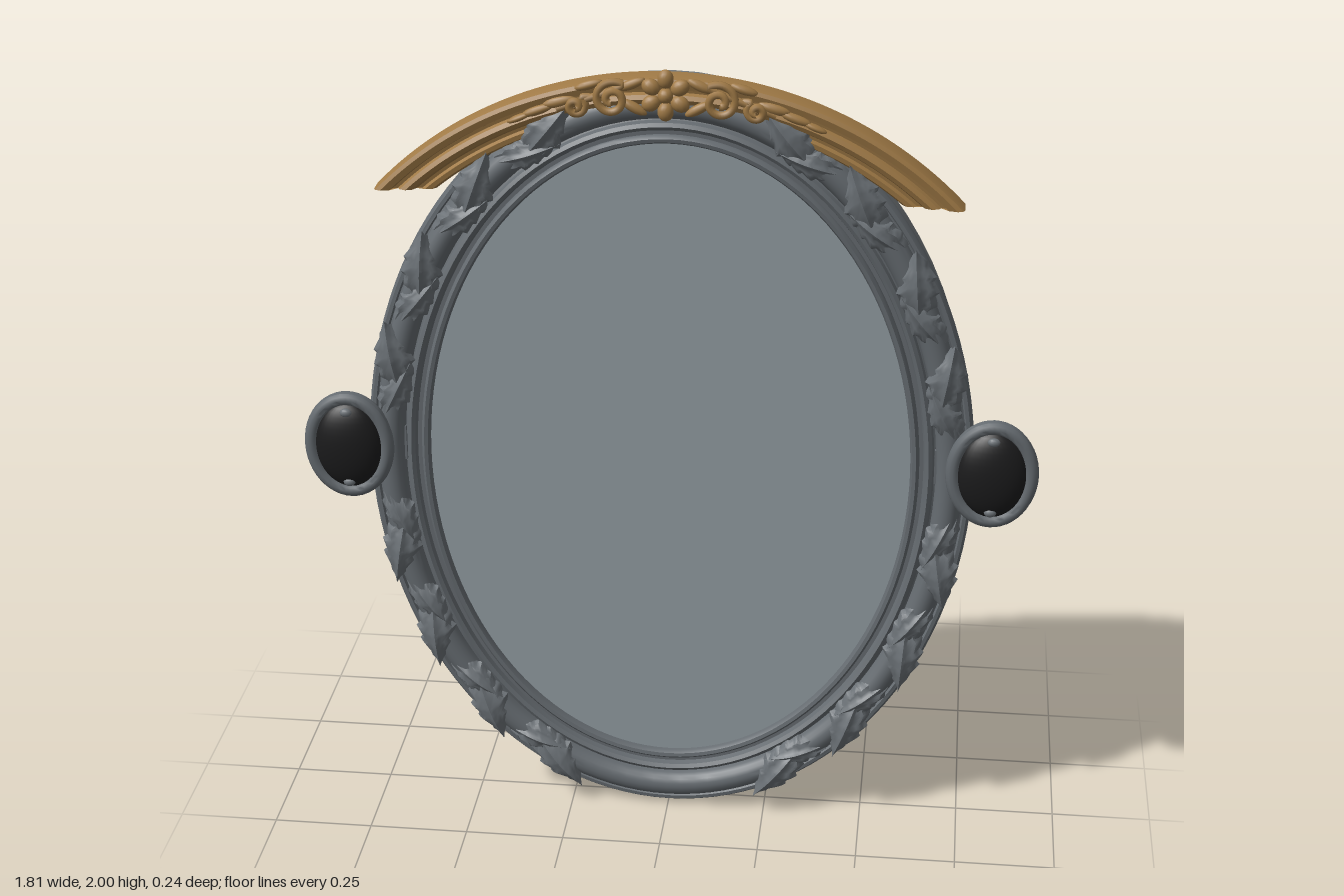
import * as THREE from 'three';
import { toCreasedNormals } from 'three/addons/utils/BufferGeometryUtils.js';

const CY = 0.98; // centre height of the oval

function material(name, color, side = THREE.FrontSide) {
  const m = new THREE.MeshStandardMaterial({ color, side });
  m.name = name;
  return m;
}

function add(parent, name, geometry, mat, x = 0, y = 0, z = 0) {
  const mesh = new THREE.Mesh(geometry, mat);
  mesh.name = name;
  mesh.position.set(x, y, z);
  parent.add(mesh);
  return mesh;
}

// Grid surface: point(i, j) for i in 0..nu, j in 0..nv
function gridSurface(nu, nv, point, crease = 0.6) {
  const pos = [], index = [];
  for (let j = 0; j <= nv; j++) for (let i = 0; i <= nu; i++) pos.push(...point(i, j));
  for (let j = 0; j < nv; j++) {
    for (let i = 0; i < nu; i++) {
      const a = j * (nu + 1) + i, d = a + nu + 1;
      index.push(a, a + 1, d + 1, a, d + 1, d);
    }
  }
  const g = new THREE.BufferGeometry();
  g.setAttribute('position', new THREE.Float32BufferAttribute(pos, 3));
  g.setIndex(index);
  return toCreasedNormals(g, crease);
}

// Sweep a profile of [offset, z] points round an ellipse
function ovalMoulding(rx, ry, profile, segs) {
  return gridSurface(profile.length - 1, segs, (i, j) => {
    const t = (j % segs) / segs * Math.PI * 2, [d, z] = profile[i];
    return [(rx + d) * Math.cos(t), (ry + d) * Math.sin(t), z];
  });
}

function circleProfile(r, n, d0 = 0, z0 = 0, from = 0, to = -Math.PI * 2) {
  return Array.from({ length: n + 1 }, (_, i) => {
    const a = from + (to - from) * i / n;
    return [d0 + r * Math.cos(a), z0 + r * Math.sin(a)];
  });
}

// Serrated leaf that curls over the rounded rail, tip along +x
function leafGeometry(length, width) {
  const nu = 12, nv = 18;
  return gridSurface(nu, nv, (i, j) => {
    const u = j / nv, w = i / nu * 2 - 1;
    const teeth = 1 - 0.28 * ((u * 4.5) % 1);
    const half = width / 2 * Math.pow(Math.sin(Math.PI * (0.1 + 0.88 * u)), 0.7) * teeth;
    const ridge = 0.005 * Math.cos(w * 9) * (1 - u * 0.5);
    const z = 0.018 * Math.sin(Math.PI * u) - 0.03 * w * w + ridge;
    return [(u - 0.5) * length - Math.abs(w) * 0.02, -half * w, z];
  }, 0.9);
}

// Closed crest moulding, its ends cut level at yCut
function crestGeometry(cy, yCut, profile) {
  const segs = 64, n = profile.length;
  return gridSurface(n, segs + 2, (i, j) => {
    const cap = j === 0 || j === segs + 2;
    const [r, z] = cap ? [0.917, 0.058] : profile[i % n];
    const s = Math.min(Math.max(j - 1, 0), segs) / segs * 2 - 1;
    const a = s * Math.acos((yCut - cy) / r);
    return [-r * Math.sin(a), cy + r * Math.cos(a), z];
  }, 0.5);
}

// Tube following a spiral, with a tail leading out of it
function scrollGeometry(side, radius, turns, tail) {
  const pts = [];
  for (let i = 0; i <= 24; i++) {
    const k = i / 24, a = -Math.PI / 2 + k * turns * Math.PI * 2;
    const r = radius * (0.2 + 0.8 * k);
    pts.push(new THREE.Vector3(side * r * Math.cos(a), r * Math.sin(a), 0.008 * (1 - k)));
  }
  pts.push(new THREE.Vector3(side * tail[0], tail[1], -0.006));
  return new THREE.TubeGeometry(new THREE.CatmullRomCurve3(pts), 70, 0.0095, 7);
}

export function createModel() {
  const root = new THREE.Group();
  root.name = 'ovalMirror';
  const pewter = material('pewter', 0x656b70);
  const leafGrey = material('leaf grey', 0x6b7176, THREE.DoubleSide);
  const casing = material('casing grey', 0x73787b);
  const glass = material('mirror glass', 0x929da3);
  const gold = material('antique gold', 0xa07a46);
  const black = material('black stone', 0x1b1b1c);
  const dark = material('dark plate', 0x484c4f);

  // Casing and glass
  const body = add(root, 'backCasing', new THREE.CylinderGeometry(1, 1, 0.11, 80), casing, 0, CY, -0.035);
  body.rotation.x = Math.PI / 2;
  body.scale.set(0.735, 1, 0.962);
  add(root, 'mirrorGlass', new THREE.CircleGeometry(1, 80), glass, 0, CY, 0.036).scale.set(0.6, 0.83, 1);

  // Moulded oval frame: inner beads, round rail and outer rim
  const profile = [
    [0, 0.022], [0, 0.045], [0.005, 0.054], [0.014, 0.056], [0.02, 0.05], [0.022, 0.042],
    [0.032, 0.042], [0.036, 0.056], [0.045, 0.062], [0.054, 0.056], [0.058, 0.044],
    ...circleProfile(0.034, 10, 0.096, 0.042, Math.PI, 0),
    [0.134, 0.04], [0.138, 0.047], [0.147, 0.046], [0.154, 0.036], [0.155, 0.026], [0.148, 0.018], [0.1, 0.018],
  ];
  add(root, 'ovalFrame', ovalMoulding(0.595, 0.825, profile, 120), pewter, 0, CY, 0);

  // Leaves running away from the side medallions, in outer and inner pairs
  const leaves = new THREE.Group();
  leaves.name = 'leafGarland';
  root.add(leaves);
  const outerLeaf = leafGeometry(0.17, 0.105), innerLeaf = leafGeometry(0.15, 0.085);
  for (const sx of [1, -1]) for (const sy of [1, -1]) {
    for (const angle of [17, 33, 50, 67]) {
      const place = (name, geo, deg, off, tilt, z) => {
        const t = THREE.MathUtils.degToRad(deg);
        const x = (0.69 + off) * Math.cos(t), y = (0.92 + off) * Math.sin(t);
        const dir = Math.atan2(0.92 * Math.cos(t), -0.69 * Math.sin(t)) + tilt;
        const leaf = add(leaves, name, geo, leafGrey, sx * x, CY + sy * y, z);
        leaf.rotation.z = Math.atan2(sy * Math.sin(dir), sx * Math.cos(dir));
      };
      place('outerLeaf', outerLeaf, angle, 0.018, -0.38, 0.075);
      place('innerLeaf', innerLeaf, angle - 5.5, -0.012, 0.3, 0.07);
    }
  }

  // Side medallions with black stones
  const bezel = ovalMoulding(0.095, 0.124, circleProfile(0.018, 12), 48);
  for (const s of [1, -1]) {
    const m = new THREE.Group();
    m.name = s > 0 ? 'leftMedallion' : 'rightMedallion';
    m.position.set(s * 0.793, 1.005, 0.075);
    root.add(m);
    add(m, 'bezel', bezel, pewter);
    add(m, 'stone', new THREE.SphereGeometry(1, 32, 20), black).scale.set(0.086, 0.114, 0.042);
    const bracket = add(m, 'bracket', new THREE.TorusGeometry(0.08, 0.014, 8, 6), pewter, -s * 0.01, 0, -0.032);
    bracket.rotation.z = Math.PI / 6;
    bracket.scale.set(0.85, 1.1, 1);
    add(m, 'arm', new THREE.BoxGeometry(0.09, 0.09, 0.02), pewter, -s * 0.095, 0, -0.032);
    for (const y of [0.094, -0.094]) {
      add(m, 'prong', new THREE.SphereGeometry(0.014, 12, 8), leafGrey, 0, y, 0.022).scale.set(1.1, 0.8, 0.7);
    }
  }

  // Gilded crest moulding
  add(root, 'crest', crestGeometry(1.01, 1.68, [
    [0.867, 0.035], [0.867, 0.058], [0.873, 0.07], [0.884, 0.072], [0.889, 0.062], [0.897, 0.064],
    [0.903, 0.08], [0.914, 0.086], [0.924, 0.08], [0.928, 0.07], [0.936, 0.072], [0.94, 0.09],
    [0.955, 0.095], [0.964, 0.09], [0.967, 0.08], [0.967, 0.035],
  ]), gold);

  // Crest ornament: rosette, scrolls and trailing leaves
  const ornament = new THREE.Group();
  ornament.name = 'crestOrnament';
  root.add(ornament);
  add(ornament, 'rosetteHeart', new THREE.SphereGeometry(0.018, 16, 12), gold, 0, 1.938, 0.1);
  for (let i = 0; i < 6; i++) {
    const a = i / 6 * Math.PI * 2 + Math.PI / 2;
    const p = add(ornament, 'petal', new THREE.SphereGeometry(1, 14, 10), gold,
      0.039 * Math.cos(a), 1.938 + 0.039 * Math.sin(a), 0.098);
    p.scale.set(0.023, 0.019, 0.016);
    p.rotation.z = a;
  }
  for (const s of [1, -1]) {
    add(ornament, 'largeScroll', scrollGeometry(s, 0.043, 1.6, [0.13, -0.03]), gold, s * 0.125, 1.925, 0.095);
    add(ornament, 'smallScroll', scrollGeometry(-s, 0.024, 1.4, [0.06, 0.02]), gold, s * 0.21, 1.905, 0.092);
    for (const [x, y, l, w, turn] of [[0.075, 1.905, 0.035, 0.012, 0.5], [0.08, 1.96, 0.035, 0.012, -0.4],
      [0.18, 1.955, 0.035, 0.011, -0.3], [0.25, 1.912, 0.04, 0.013, -0.25],
      [0.3, 1.89, 0.04, 0.011, -0.35], [0.345, 1.87, 0.03, 0.008, -0.4]]) {
      const leaf = add(ornament, 'crestLeaf', new THREE.SphereGeometry(1, 14, 8), gold, s * x, y, 0.09);
      leaf.scale.set(l, w, 0.012);
      leaf.rotation.z = s * turn;
    }
  }

  // Back fittings: hanging ring, label plate and four bumpers
  const ring = add(root, 'hangingRing', new THREE.TorusGeometry(0.073, 0.013, 10, 40), casing, 0, 1.755, -0.109);
  ring.name = 'hangingRing';
  add(root, 'labelPlate', new THREE.BoxGeometry(0.22, 0.088, 0.009), dark, 0, 0.505, -0.0945);
  for (const x of [0.37, -0.37]) for (const y of [0.4, 1.57]) {
    add(root, 'bumper', new THREE.SphereGeometry(1, 16, 10), casing, x, y, -0.092).scale.set(0.017, 0.017, 0.014);
  }
  return root;
}
